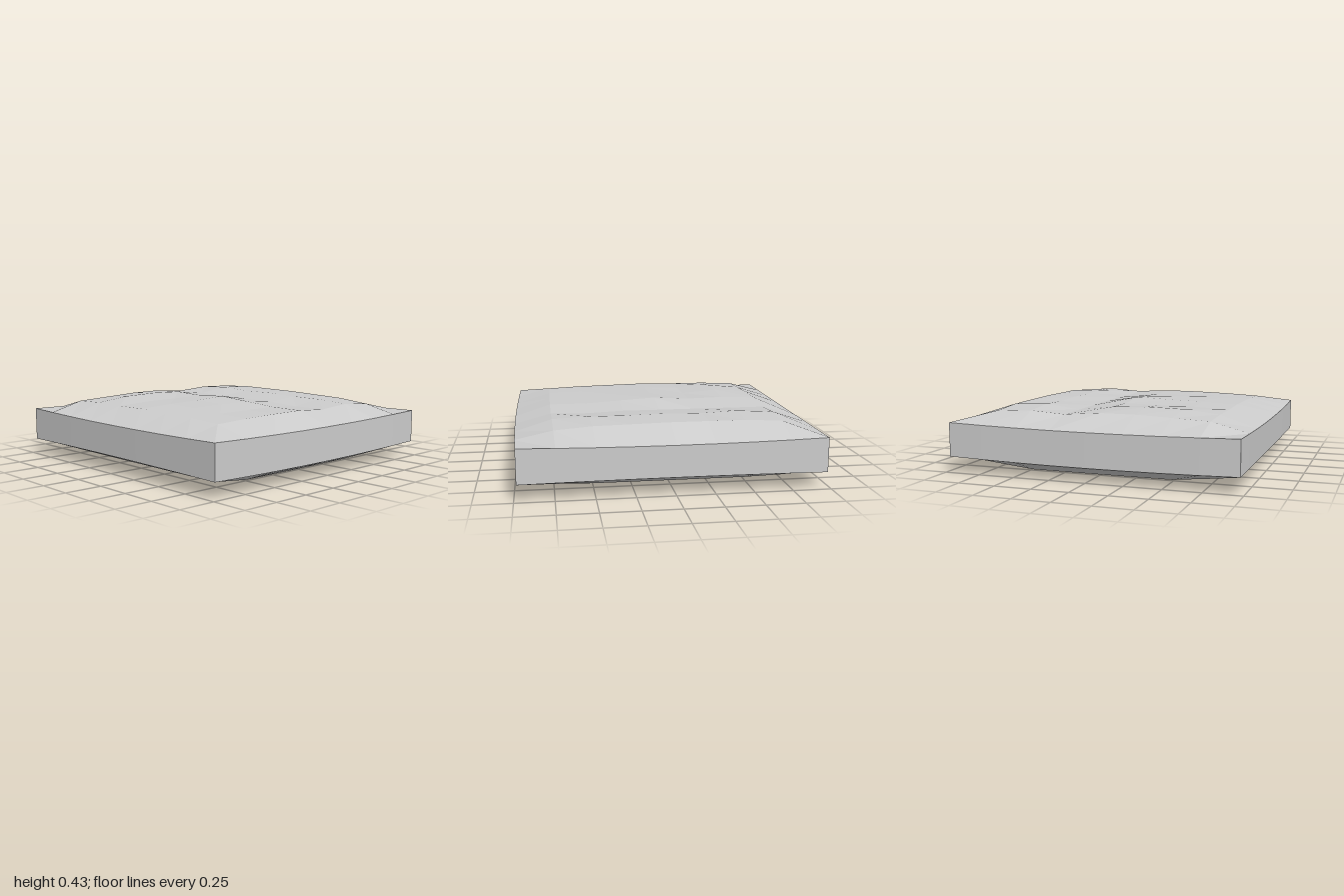
import * as THREE from 'three';

// Top heights in hundredths: rows run back to front, columns run -x to +x
const TOP = [
  [39, 40, 41, 41, 39, 40.5, 39.5],
  [40, 42.5, 43, 42, 39, 42, 41],
  [40, 41, 41, 41.5, 39, 41, 41],
  [40.5, 41.5, 42, 43, 39, 41.5, 41],
  [40, 41, 41.5, 41.5, 39, 41, 40.5],
  [39.5, 40, 40, 40, 38, 41, 40],
  [38.5, 39.5, 40, 40, 38.5, 40, 38],
];
const N = 8;

function topHeight(i, j) {
  if (i % N === 0 || j % N === 0) {
    // rim dips slightly at the middle of each side
    const a = (i - 4) / 4, b = (j - 4) / 4;
    return 0.32 + 0.012 * Math.min(a * a, b * b);
  }
  return TOP[j - 1][i - 1] / 100;
}

function bottomHeight(u, v) {
  const a = Math.abs(u), b = Math.abs(v);
  if (a > 0.9 || b > 0.9) return 0.105 - 0.01 * b * b + 0.01 * a * a;
  return (a > 0.7 ? 0.024 : 0) + (b > 0.7 ? 0.006 : 0);
}

export function createModel() {
  const model = new THREE.Group();

  // Weathered slab: a gridded box with bowed sides, chamfered base and uneven top
  const geo = new THREE.BoxGeometry(2, 2, 2, N, 1, N);
  const p = geo.attributes.position;
  for (let k = 0; k < p.count; k++) {
    const u = p.getX(k), v = p.getZ(k);
    const i = Math.round((u + 1) * 4), j = Math.round((v + 1) * 4);
    const y = p.getY(k) > 0 ? topHeight(i, j) : bottomHeight(u, v);
    const x = u * (0.985 - 0.01 * v * v);
    const z = v * (1 + 0.02 * (1 - Math.abs(v)) - 0.018 * u * u);
    p.setXYZ(k, x, y, z);
  }
  geo.computeVertexNormals();

  const slab = new THREE.Mesh(
    geo,
    new THREE.MeshStandardMaterial({ color: 0xcccccc, flatShading: true }),
  );
  slab.name = 'stoneSlab';
  model.add(slab);
  return model;
}
